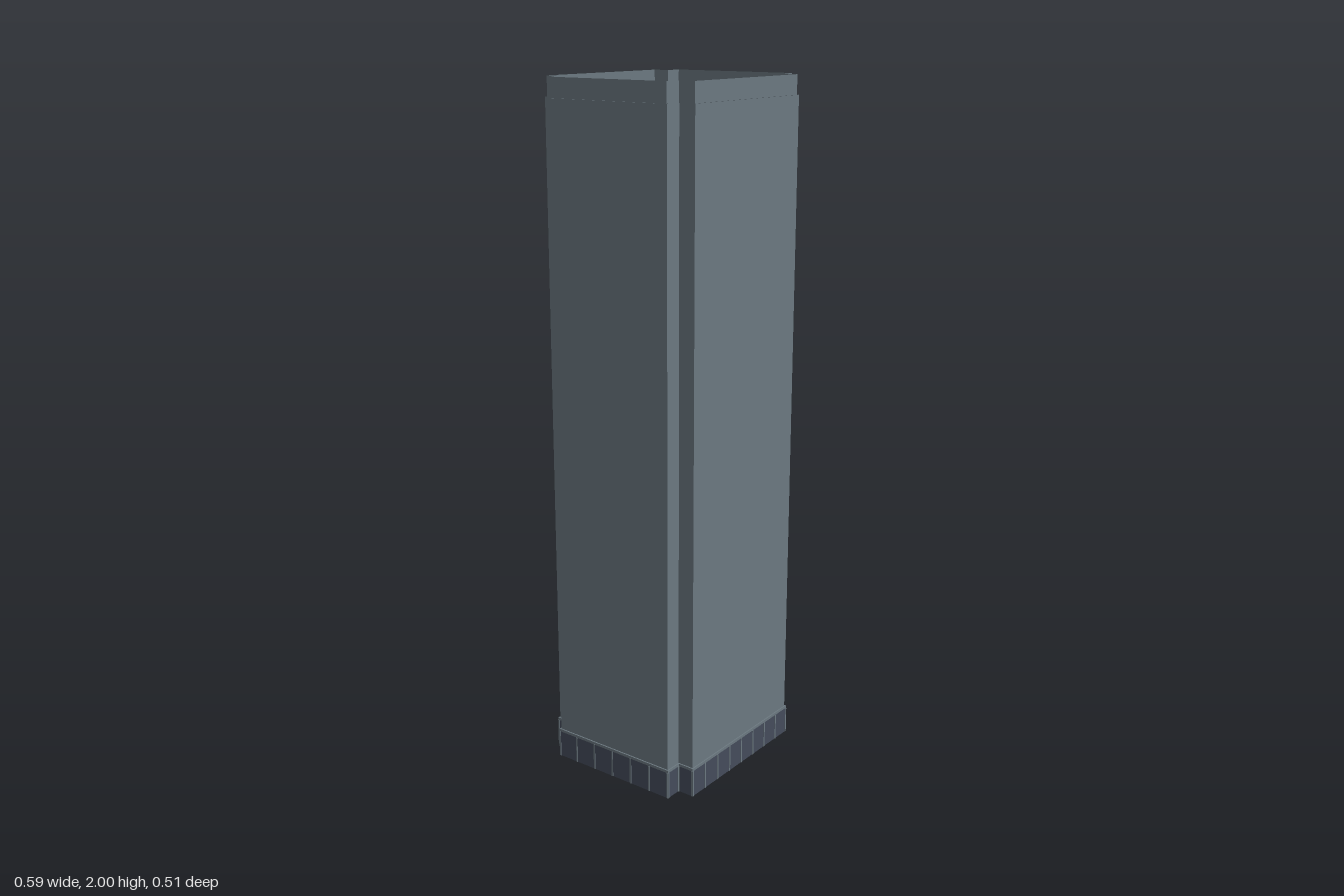
import * as THREE from 'three';

const wall = new THREE.MeshStandardMaterial({ color: 0x6b7880, side: THREE.DoubleSide });
wall.name = 'wall grey';
const glass = new THREE.MeshStandardMaterial({ color: 0x444c5b, side: THREE.DoubleSide });
glass.name = 'dark glass';

// Notched-corner floor plan, grown outward by d; counter-clockwise in (x, -z)
function plan(d) {
  const X = 0.287 + d, Z = 0.248 + d, nx = 0.236 + d, nz = 0.198 + d;
  return [
    [X, -nz], [X, nz], [nx, nz], [nx, Z], [-nx, Z], [-nx, nz],
    [-X, nz], [-X, -nz], [-nx, -nz], [-nx, -Z], [nx, -Z], [nx, -nz],
  ].map(([x, y]) => new THREE.Vector2(x, y));
}

// Open vertical shell following the floor plan
function shell(name, d, y0, y1, material) {
  const pts = plan(d), pos = [];
  pts.forEach((a, i) => {
    const b = pts[(i + 1) % pts.length];
    pos.push(a.x, y0, -a.y, b.x, y0, -b.y, b.x, y1, -b.y);
    pos.push(a.x, y0, -a.y, b.x, y1, -b.y, a.x, y1, -a.y);
  });
  const g = new THREE.BufferGeometry();
  g.setAttribute('position', new THREE.Float32BufferAttribute(pos, 3));
  g.computeVertexNormals();
  const m = new THREE.Mesh(g, material);
  m.name = name;
  return m;
}

// Horizontal slab of the floor plan, optionally with a smaller plan cut out
function slab(name, d, y, holeD) {
  const s = new THREE.Shape(plan(d));
  if (holeD !== undefined) s.holes.push(new THREE.Path(plan(holeD).reverse()));
  const m = new THREE.Mesh(new THREE.ShapeGeometry(s).rotateX(-Math.PI / 2), wall);
  m.position.y = y;
  m.name = name;
  return m;
}

export function createModel() {
  const group = new THREE.Group();
  group.name = 'tower';
  const BASE = 0.008, BODY = 0.004, bandY = 0.08, baseY = 0.088, roofY = 1.945;

  // Tower shaft, parapet and roof
  group.add(shell('shaft', BODY, baseY, roofY, wall));
  group.add(shell('parapet', 0, roofY, 2, wall));
  group.add(slab('roof', 0, roofY));

  // Ground floor: glazing, band above it and a narrow ledge
  group.add(shell('groundGlazing', BASE, 0, bandY, glass));
  group.add(shell('groundBand', BASE, bandY, baseY, wall));
  group.add(slab('groundLedge', BASE, baseY, BODY));

  // Mullions dividing each ground-floor face into equal panes
  const mullions = new THREE.Group();
  mullions.name = 'mullions';
  const bar = new THREE.BoxGeometry(0.005, bandY, 0.003);
  const pts = plan(BASE);
  pts.forEach((a, i) => {
    const b = pts[(i + 1) % pts.length];
    const len = a.distanceTo(b), alongX = Math.abs(b.x - a.x) > 0.001;
    const n = len < 0.1 ? 1 : alongX ? 8 : 6;
    for (let k = 0; k <= n; k++) {
      // keep the end bars just inside the corners
      const t = Math.min(Math.max(k / n, 0.0025 / len), 1 - 0.0025 / len);
      const p = a.clone().lerp(b, t);
      const m = new THREE.Mesh(bar, wall);
      m.name = 'mullion';
      m.position.set(p.x, bandY / 2, -p.y);
      if (!alongX) m.rotation.y = Math.PI / 2;
      mullions.add(m);
    }
  });
  group.add(mullions);

  // Rooftop units: x, z, width, depth, height
  [
    [-0.142, 0.075, 0.056, 0.065, 0.03],
    [0.061, 0.054, 0.044, 0.063, 0.03],
    [0.062, -0.127, 0.032, 0.06, 0.018],
  ].forEach(([x, z, w, d, h]) => {
    const m = new THREE.Mesh(new THREE.BoxGeometry(w, h, d), wall);
    m.name = 'rooftopUnit';
    m.position.set(x, roofY + h / 2, z);
    group.add(m);
  });

  return group;
}
